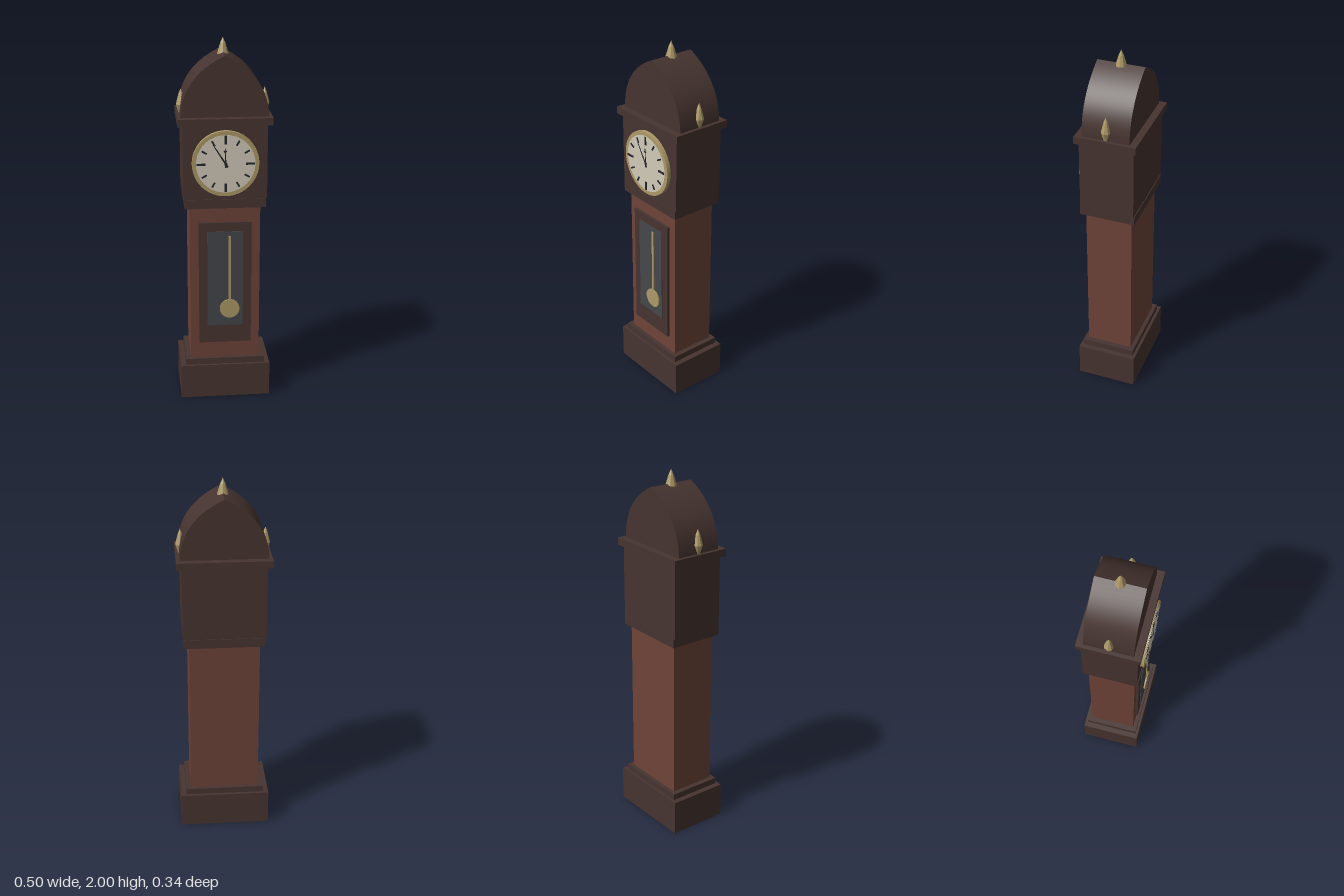
import * as THREE from 'three';
import { toCreasedNormals } from 'three/addons/utils/BufferGeometryUtils.js';

const paint = (color, extra = {}) => new THREE.MeshStandardMaterial({ color, ...extra });
const darkWood = paint(0x463430);
const redWood = paint(0x6e4338);
const brass = paint(0xae9a68);
const brassFacets = paint(0xae9a68, { flatShading: true });
const ivory = paint(0xd2cbb9);
const glassGrey = paint(0x45474c);
const ink = paint(0x24262c);

const CZ = -0.004; // depth centre of the case

export function createModel() {
  const clock = new THREE.Group();
  clock.name = 'longcaseClock';

  const add = (name, geometry, material, x, y, z, parent = clock) => {
    const mesh = new THREE.Mesh(geometry, material);
    mesh.name = name;
    mesh.position.set(x, y, z);
    parent.add(mesh);
    return mesh;
  };
  // Case section given by half width, half depth and bottom/top heights
  const section = (name, hw, hd, y0, y1, material = darkWood) =>
    add(name, new THREE.BoxGeometry(2 * hw, y1 - y0, 2 * hd), material, 0, (y0 + y1) / 2, CZ);
  // Thin panel given by its edges, lying on the front
  const panel = (name, hw, y0, y1, z0, z1, material) =>
    add(name, new THREE.BoxGeometry(2 * hw, y1 - y0, z1 - z0), material, 0, (y0 + y1) / 2, (z0 + z1) / 2);
  // Disc facing +z
  const disc = (name, r, x, y, z0, z1, material) =>
    add(name, new THREE.CylinderGeometry(r, r, z1 - z0, 48).rotateX(Math.PI / 2), material, x, y, (z0 + z1) / 2);

  // Case, from the floor up
  section('plinth', 0.248, 0.166, 0, 0.195);
  section('plinthMoulding', 0.218, 0.15, 0.195, 0.23);
  section('trunk', 0.19, 0.128, 0.23, 1.115, redWood);
  section('hoodMoulding', 0.217, 0.152, 1.115, 1.165);
  section('hood', 0.223, 0.148, 1.165, 1.565);
  section('cornice', 0.249, 0.166, 1.565, 1.605);

  // Pointed arch on the cornice
  const arch = new THREE.Shape();
  arch.moveTo(-0.23, 0);
  arch.lineTo(0.23, 0);
  arch.quadraticCurveTo(0.225, 0.215, 0, 0.32);
  arch.quadraticCurveTo(-0.225, 0.215, -0.23, 0);
  const archGeometry = new THREE.ExtrudeGeometry(arch, { depth: 0.256, bevelEnabled: false, curveSegments: 20 });
  add('archedTop', toCreasedNormals(archGeometry, 0.35), darkWood, 0, 1.605, CZ - 0.128);

  // Faceted finials
  const finialProfile = [[0, 0], [0.012, 0], [0.026, 0.045], [0.012, 0.1], [0, 0.13]].map(p => new THREE.Vector2(...p));
  const finialGeometry = new THREE.LatheGeometry(finialProfile, 8);
  for (const [name, x, y, s] of [['leftFinial', 0.222, 1.605, 1], ['rightFinial', -0.222, 1.605, 1], ['topFinial', 0, 1.87, 1.15]]) {
    add(name, finialGeometry, brassFacets, x, y, CZ).scale.set(s, 1, s);
  }

  // Trunk door with glass and pendulum
  panel('door', 0.143, 0.326, 1.03, 0.12, 0.138, darkWood);
  panel('doorGlass', 0.097, 0.43, 0.98, 0.13, 0.142, glassGrey);
  add('pendulumRod', new THREE.BoxGeometry(0.014, 0.4, 0.006), brass, 0.024, 0.755, 0.144);
  disc('pendulumBob', 0.054, 0.024, 0.531, 0.14, 0.15, brass);

  // Dial
  const dialY = 1.365;
  disc('bezel', 0.177, 0, dialY, 0.14, 0.165, brass);
  disc('dialFace', 0.156, 0, dialY, 0.16, 0.1665, ivory);
  const dial = new THREE.Group();
  dial.name = 'dialMarks';
  dial.position.set(0, dialY, 0.168);
  clock.add(dial);

  // Hour marks, longer at the quarters
  for (let i = 0; i < 12; i++) {
    const quarter = i % 3 === 0;
    const a = (i * Math.PI) / 6;
    const r = 0.13;
    const mark = add('hourMark', new THREE.BoxGeometry(quarter ? 0.011 : 0.009, quarter ? 0.046 : 0.03, 0.004),
      ink, r * Math.sin(a), r * Math.cos(a), 0, dial);
    mark.rotation.z = -a;
  }

  // Tapered hands, pivoting at the dial centre
  const hand = (name, length, width, angle, z) => {
    const s = new THREE.Shape();
    s.moveTo(-width / 2, -0.02);
    s.lineTo(width / 2, -0.02);
    s.lineTo(width / 4, length);
    s.lineTo(-width / 4, length);
    s.closePath();
    const mesh = add(name, new THREE.ExtrudeGeometry(s, { depth: 0.001, bevelEnabled: false }), ink, 0, 0, z, dial);
    mesh.rotation.z = angle;
    return mesh;
  };
  const hourHand = hand('hourHand', 0.085, 0.008, 0.04, 0);
  add('hourHandTip', new THREE.CylinderGeometry(0.01, 0.01, 0.001, 4).rotateX(Math.PI / 2), ink, 0, 0.068, 0.0006, hourHand);
  hand('minuteHand', 0.122, 0.01, 0.56, 0.001);
  add('handPivot', new THREE.CylinderGeometry(0.008, 0.008, 0.004, 16).rotateX(Math.PI / 2), ink, 0, 0, 0, dial);

  return clock;
}
